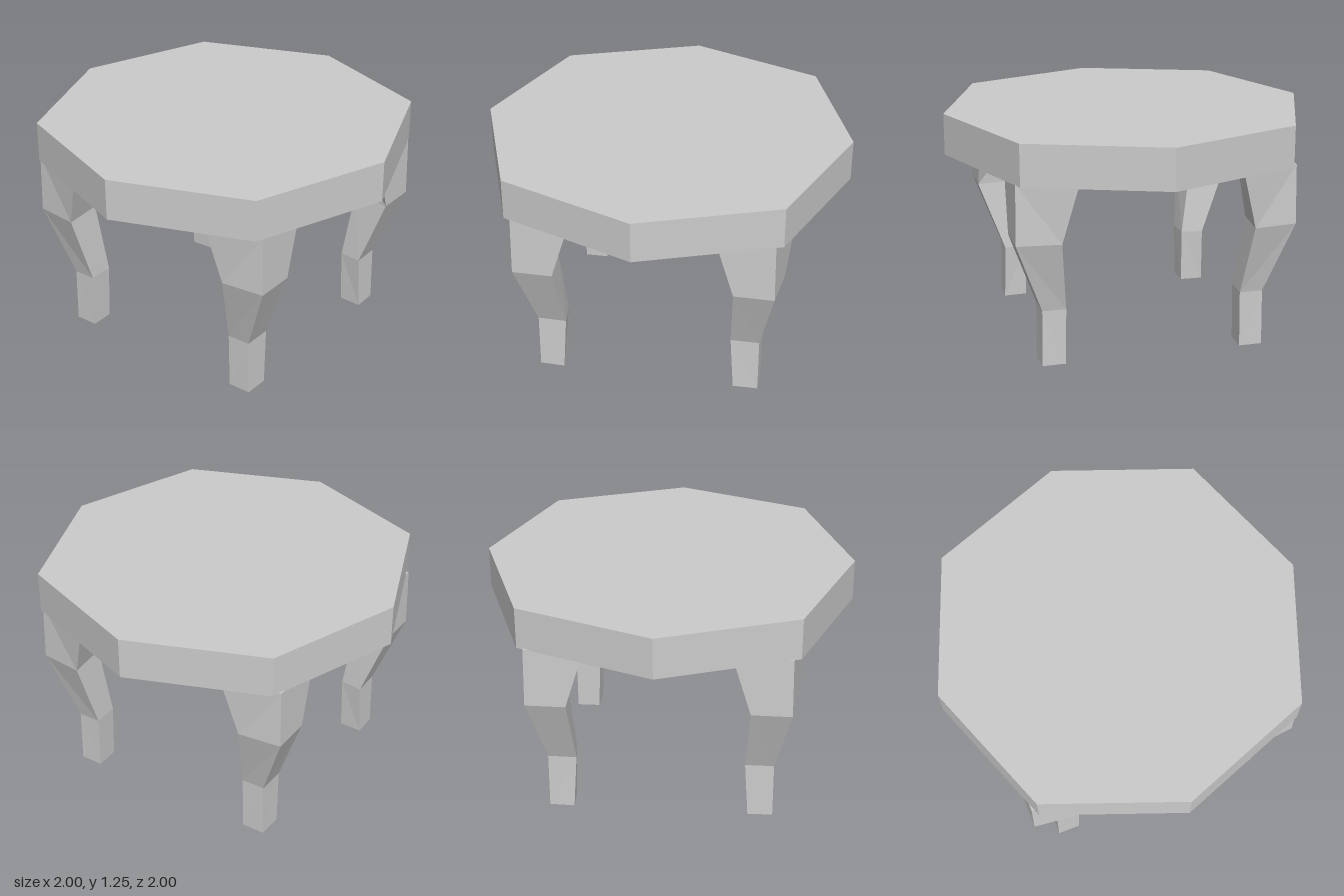
import * as THREE from 'three';

const material = new THREE.MeshStandardMaterial({ color: 0xcccccc, flatShading: true });

// Leg cross-sections: height, then [x, z] of outer, front-inner, inner and side corners
const LEG = [
  [0.00, [0.61, 0.612], [0.475, 0.615], [0.48, 0.487], [0.61, 0.485]],
  [0.31, [0.61, 0.608], [0.455, 0.61], [0.47, 0.485], [0.612, 0.48]],
  [0.705, [0.695, 0.755], [0.48, 0.755], [0.50, 0.54], [0.72, 0.52]],
  [1.03, [0.69, 0.75], [0.38, 0.75], [0.48, 0.49], [0.76, 0.435]],
];

// Joins the sections into a closed solid; sx, sz mirror it to any corner
function legGeometry(sx, sz) {
  const positions = [], index = [];
  for (const [y, ...corners] of LEG)
    for (const [x, z] of corners) positions.push(x * sx, y, z * sz);
  const quad = (a, b, c, d) =>
    sx * sz > 0 ? index.push(a, b, c, a, c, d) : index.push(a, c, b, a, d, c);
  for (let i = 0; i < LEG.length - 1; i++)
    for (let j = 0; j < 4; j++) {
      const a = i * 4 + j, b = i * 4 + (j + 1) % 4;
      quad(a, a + 4, b + 4, b);
    }
  const t = (LEG.length - 1) * 4;
  quad(0, 1, 2, 3);
  quad(t + 3, t + 2, t + 1, t);
  const geometry = new THREE.BufferGeometry();
  geometry.setAttribute('position', new THREE.Float32BufferAttribute(positions, 3));
  geometry.setIndex(index);
  const flat = geometry.toNonIndexed();
  flat.computeVertexNormals();
  return flat;
}

export function createModel() {
  const model = new THREE.Group();
  model.name = 'octagonalTable';

  // Octagonal top with corners on the axes; diagonal corners pushed out slightly
  const shape = new THREE.Shape();
  for (let i = 0; i < 8; i++) {
    const r = i % 2 ? 0.727 * Math.SQRT2 : 1, a = i * Math.PI / 4;
    const x = r * Math.cos(a), y = r * Math.sin(a);
    i ? shape.lineTo(x, y) : shape.moveTo(x, y);
  }
  const topGeometry = new THREE.ExtrudeGeometry(shape, { depth: 0.225, bevelEnabled: false });
  topGeometry.rotateX(-Math.PI / 2);
  const top = new THREE.Mesh(topGeometry, material);
  top.name = 'tableTop';
  top.position.y = 1.025;
  model.add(top);

  // Four curved legs, mirrored to the diagonal corners
  for (const sx of [1, -1])
    for (const sz of [1, -1]) {
      const leg = new THREE.Mesh(legGeometry(sx, sz), material);
      leg.name = (sz > 0 ? 'front' : 'back') + (sx > 0 ? 'Left' : 'Right') + 'Leg';
      leg.position.z = -0.005;
      model.add(leg);
    }
  return model;
}
